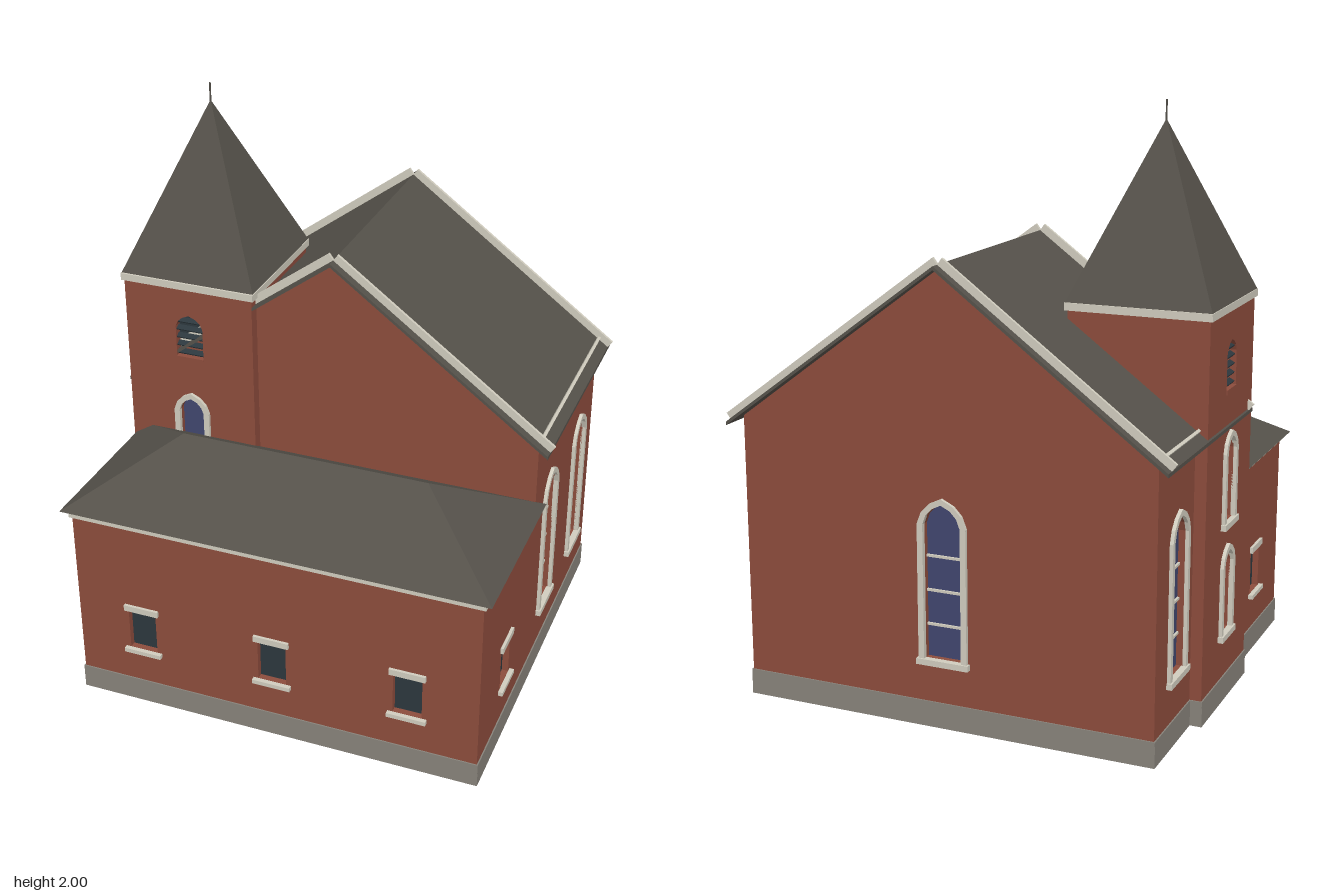
import * as THREE from 'three';

const mat = (name, color, side = THREE.FrontSide) => {
  const m = new THREE.MeshStandardMaterial({ color, side });
  m.name = name;
  return m;
};
const brick = mat('brick', 0x8c4c3c);
const slate = mat('slate roof', 0x55514a, THREE.DoubleSide);
const stone = mat('foundation stone', 0x87827a);
const trim = mat('pale trim', 0xd0ccbe);
const blueGlass = mat('blue glass', 0x41466e, THREE.DoubleSide);
const darkGlass = mat('dark glass', 0x2c373d, THREE.DoubleSide);
const T = 0.03; // wall thickness
const BASE = 0.015;

function add(parent, name, geo, material, x = 0, y = 0, z = 0) {
  const m = new THREE.Mesh(geo, material);
  m.name = name;
  m.position.set(x, y, z);
  parent.add(m);
  return m;
}
const box = (parent, name, material, w, h, d, x, y, z) =>
  add(parent, name, new THREE.BoxGeometry(w, h, d), material, x, y, z);
const extrude = (shape, depth) =>
  new THREE.ExtrudeGeometry(shape, { depth, bevelEnabled: false, curveSegments: 3 });

// Slightly pointed arch outline; spring equal to top gives a rectangle
function outline(Type, cx, w, y0, spring, top) {
  const p = new Type();
  const h = top - spring;
  p.moveTo(cx - w, y0);
  p.lineTo(cx + w, y0);
  p.lineTo(cx + w, spring);
  if (h > 0) {
    p.quadraticCurveTo(cx + w * 0.85, top - h * 0.25, cx, top);
    p.quadraticCurveTo(cx - w * 0.85, top - h * 0.25, cx - w, spring);
  } else p.lineTo(cx - w, spring);
  p.closePath();
  return p;
}

// Window kinds: dimensions are the clear opening
const tall = (cx) => ({ kind: 'arched', cx, w: 0.065, y0: 0.25, spring: 0.7, top: 0.77, bars: [0.36, 0.475, 0.59], f: 0.02 });
const small = (cx, y0) => ({ kind: 'arched', cx, w: 0.046, y0, spring: y0 + 0.235, top: y0 + 0.285, bars: [y0 + 0.12], f: 0.02 });
const square = (cx) => ({ kind: 'square', cx, w: 0.05, y0: 0.235, spring: 0.39, top: 0.39 });
const belfry = (cx) => ({ kind: 'louvre', cx, w: 0.05, y0: 1.08, spring: 1.205, top: 1.25 });

function addWindow(g, o) {
  const height = o.top - o.y0;
  if (o.kind === 'louvre') {
    for (let i = 0; i < 5; i++)
      box(g, 'belfryLouvre', darkGlass, o.w * 2, 0.006, 0.02, o.cx, o.y0 + 0.025 + i * 0.03, -0.015).rotation.x = 0.5;
    box(g, 'belfrySill', brick, o.w * 2, 0.015, 0.03, o.cx, o.y0 + 0.004, -0.012);
    add(g, 'belfryBack', new THREE.ShapeGeometry(outline(THREE.Shape, o.cx, 0.09, 1.04, 1.3, 1.3)), darkGlass, 0, 0, -0.075);
    return;
  }
  const pane = new THREE.ShapeGeometry(outline(THREE.Shape, o.cx, o.w, o.y0, o.spring, o.top), 3);
  add(g, 'windowPane', pane, o.kind === 'arched' ? blueGlass : darkGlass, 0, 0, -0.022);
  if (o.kind === 'arched') {
    const frame = outline(THREE.Shape, o.cx, o.w + o.f, o.y0 - 0.005, o.spring, o.top + o.f);
    frame.holes.push(outline(THREE.Path, o.cx, o.w, o.y0, o.spring, o.top));
    add(g, 'windowFrame', extrude(frame, 0.016), trim, 0, 0, -0.004);
    for (const y of o.bars) box(g, 'glazingBar', trim, o.w * 2, 0.008, 0.008, o.cx, y, -0.019);
    box(g, 'windowSill', trim, (o.w + o.f) * 2 + 0.012, 0.02, 0.022, o.cx, o.y0 - 0.01, 0.007);
  } else {
    box(g, 'windowLintel', trim, 0.125, 0.022, 0.014, o.cx, o.y0 + height + 0.01, 0.003);
    box(g, 'windowSill', trim, 0.135, 0.015, 0.02, o.cx, o.y0 - 0.008, 0.006);
  }
}

// A wall whose outside faces local +z, from x = a to b, with an optional gable peak
function wall(parent, name, turn, px, pz, a, b, top, { windows = [], peak = 0, band = true, cornice = 0 } = {}) {
  const g = new THREE.Group();
  g.name = name;
  g.position.set(px, 0, pz);
  g.rotation.y = turn * Math.PI / 2;
  const s = new THREE.Shape();
  s.moveTo(a, BASE);
  s.lineTo(b, BASE);
  s.lineTo(b, top);
  if (peak) s.lineTo(0, peak);
  s.lineTo(a, top);
  s.closePath();
  for (const o of windows) s.holes.push(outline(THREE.Path, o.cx, o.w, o.y0, o.spring, o.top));
  add(g, 'brickwork', extrude(s, T), brick, 0, 0, -T);
  windows.forEach((o) => addWindow(g, o));
  const mid = (a + b) / 2;
  if (band) box(g, 'foundation', stone, b - a + 0.008, 0.087, 0.005, mid, BASE + 0.0435, 0.002);
  if (cornice) box(g, 'cornice', trim, b - a + 0.016, 0.025, 0.018, mid, cornice, 0);
  parent.add(g);
}

export function createModel() {
  const model = new THREE.Group();
  model.name = 'church';
  const part = (name) => {
    const g = new THREE.Group();
    g.name = name;
    model.add(g);
    return g;
  };

  // Hall: gables at front and back, tall windows in the other walls
  const hall = part('hall');
  wall(hall, 'hallBackWall', 2, 0, -0.667, -0.717, 0.712, 0.985, { peak: 1.518, windows: [tall(0)] });
  wall(hall, 'hallFrontWall', 0, 0, 0.112, -0.712, 0.717, 0.985, { peak: 1.518, band: false });
  wall(hall, 'hallLeftWall', 1, 0.717, 0, -0.112, 0.667, 0.98, { windows: [tall(0.08), tall(0.47)] });
  wall(hall, 'hallRightWall', -1, -0.712, 0, -0.667, 0.112, 0.98, { windows: [tall(-0.47)] });
  box(hall, 'innerDoor', slate, 0.17, 0.31, 0.008, 0, 0.27, 0.078);
  box(hall, 'doorStep', trim, 0.26, 0.02, 0.09, 0, 0.01, 0.165);

  // Hall roof: thin chevron with raised trim strips
  const E = 0.757, RIDGE = 1.53, EAVE = 0.97, t = 0.012;
  const chevron = new THREE.Shape();
  [[-E, EAVE], [0, RIDGE], [E, EAVE], [E, EAVE - t], [0, RIDGE - t], [-E, EAVE - t]]
    .forEach(([x, y], i) => (i ? chevron.lineTo(x, y) : chevron.moveTo(x, y)));
  add(hall, 'hallRoof', extrude(chevron, 0.863), slate, 0, 0, -0.713);
  const slope = Math.atan2(RIDGE - EAVE, E), len = Math.hypot(E, RIDGE - EAVE);
  for (const side of [-1, 1]) {
    const off = 0.013;
    for (const z of [0.114, -0.677]) {
      const rake = box(hall, 'rakeTrim', trim, len, 0.026, 0.011,
        side * (E / 2 + off * Math.sin(slope)), (RIDGE + EAVE) / 2 + off * Math.cos(slope), z);
      rake.rotation.z = -side * slope;
    }
    const eave = box(hall, 'eaveTrim', trim, 0.01, 0.012, 0.79, side * 0.722, 1.001, -0.281);
    eave.rotation.z = -side * slope;
  }

  // Tower: square shaft, two small windows and a belfry opening on two sides
  const tower = part('tower');
  const X0 = -0.752, X1 = -0.28, Z0 = -0.325, Z1 = 0.152, cx = -0.516, cz = -0.088;
  const stack = (c) => [small(c, 0.262), small(c, 0.648), belfry(c)];
  wall(tower, 'towerFrontWall', 0, 0, Z1, X0, X1, 1.36, { windows: stack(cx), cornice: 1.362, band: false });
  wall(tower, 'towerRightWall', -1, X0, 0, Z0, Z1, 1.36, { windows: stack(cz), cornice: 1.362 });
  wall(tower, 'towerBackWall', 2, 0, Z0, -X1, -X0, 1.36, { cornice: 1.362, band: false });
  wall(tower, 'towerLeftWall', 1, X1, 0, -Z1, -Z0, 1.36, { cornice: 1.362, band: false });
  box(tower, 'towerBackFoundation', stone, 0.042, 0.087, 0.005, -0.735, 0.0585, Z0 - 0.002);
  box(tower, 'towerFrontFoundation', stone, 0.042, 0.087, 0.005, -0.735, 0.0585, Z1 + 0.002);
  const spire = new THREE.ConeGeometry(0.243 * Math.SQRT2, 0.565, 4, 1, true).toNonIndexed();
  spire.rotateY(Math.PI / 4);
  spire.computeVertexNormals();
  add(tower, 'spire', spire, slate, cx, 1.6575, cz);
  add(tower, 'finial', new THREE.CylinderGeometry(0.003, 0.003, 0.08, 6), slate, cx, 1.96, cz);

  // Front annex with square windows
  const annex = part('annex');
  const opts = (windows) => ({ windows, cornice: 0.734 });
  wall(annex, 'annexFrontWall', 0, 0, 0.685, -0.712, 0.717, 0.74, opts([-0.475, 0, 0.475].map(square)));
  wall(annex, 'annexLeftWall', 1, 0.717, 0, -0.685, -0.112, 0.74, opts([square(-0.4)]));
  wall(annex, 'annexRightWall', -1, -0.712, 0, 0.112, 0.685, 0.74, opts([square(0.4)]));

  // Hipped annex roof: four eave corners and a short ridge
  const L = [-0.745, 0.748, 0.71], R = [0.748, 0.748, 0.71];
  const BL = [-0.745, 0.748, 0.085], BR = [0.748, 0.748, 0.085];
  const A = [-0.43, 0.943, 0.397], B = [0.433, 0.943, 0.397];
  const faces = [L, R, B, L, B, A, R, BR, B, BR, BL, A, BR, A, B, BL, L, A];
  const hip = new THREE.BufferGeometry();
  hip.setAttribute('position', new THREE.Float32BufferAttribute(faces.flat(), 3));
  hip.computeVertexNormals();
  add(annex, 'annexRoof', hip, slate);

  return model;
}
